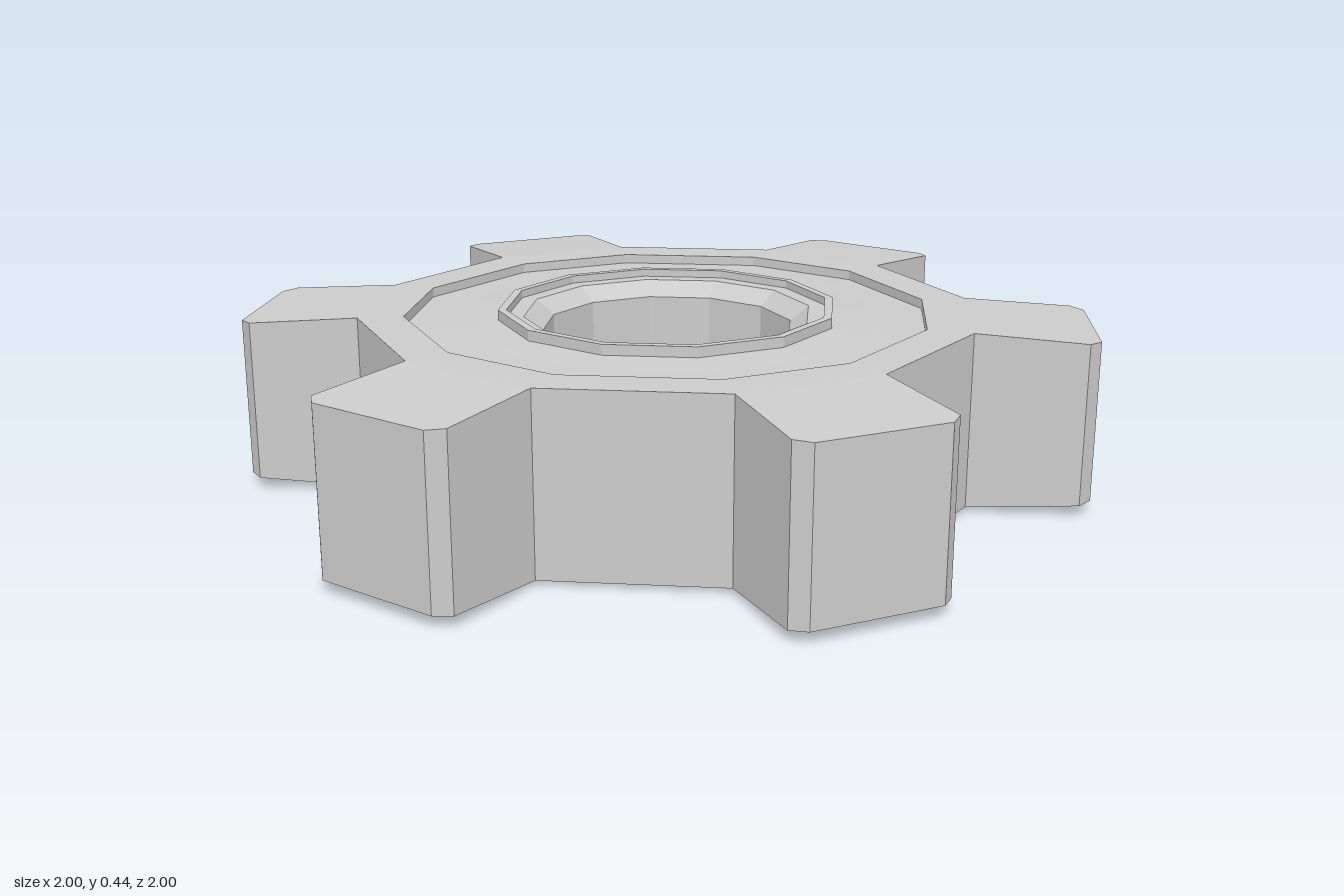
import * as THREE from 'three';

const HALF = 0.2185; // half of the overall height
const material = new THREE.MeshStandardMaterial({ color: 0xcccccc, flatShading: true });

// Skins a row of equal-length closed cross-sections with flat quads.
function loft(sections, skip = () => false) {
  const pos = [];
  for (let j = 0; j + 1 < sections.length; j++) {
    const s = sections[j], t = sections[j + 1], n = s.length;
    for (let i = 0; i < n; i++) {
      if (skip(j, i)) continue;
      const k = (i + 1) % n;
      for (const p of [s[i], t[i], t[k], s[i], t[k], s[k]]) pos.push(...p);
    }
  }
  const geo = new THREE.BufferGeometry();
  geo.setAttribute('position', new THREE.Float32BufferAttribute(pos, 3));
  geo.computeVertexNormals();
  return geo;
}

// Twelve-sided hub: rim, sunken face, raised lip and chamfered bore.
function hubGeometry() {
  const upper = [
    [0.732, 0.208], [0.625, 0.208],                 // rim
    [0.625, 0.185], [0.515, 0.188], [0.405, 0.194], // sunken face
    [0.405, HALF], [0.385, HALF],                   // lip
    [0.385, 0.2], [0.345, 0.2], [0.3, 0.165],       // bore chamfer
  ];
  const lower = upper.map(([r, y]) => [r, -y]).reverse();
  const profile = [...upper, ...lower];
  const sections = [];
  for (let j = 0; j <= 12; j++) {
    const side = j % 2 ? 1 : -1;
    const mid = 15 + 60 * Math.floor(j / 2);
    sections.push(profile.map(([r, y]) => {
      // outer corners line up with the tooth roots, inner ones are regular
      const a = THREE.MathUtils.degToRad(mid + side * (r > 0.6 ? 13.75 : 15));
      return [r * Math.cos(a), y, -r * Math.sin(a)];
    }));
  }
  // leave the outer wall open where a tooth joins it
  return loft(sections, (j, i) => j % 2 === 0 && i === profile.length - 1);
}

// One tooth along +x: flared sides, tapered height, bevelled tip.
function toothGeometry() {
  const steps = [
    [0.711, 0.174, 0.208], [0.968, 0.185, 0.192],
    [0.997, 0.152, 0.19], [0.997, 0, 0.19],
  ];
  return loft(steps.map(([x, w, h]) => [[x, h, w], [x, h, -w], [x, -h, -w], [x, -h, w]]));
}

export function createModel() {
  const gear = new THREE.Group();
  gear.name = 'gear';

  const hub = new THREE.Mesh(hubGeometry(), material);
  hub.name = 'hub';
  gear.add(hub);

  const geo = toothGeometry();
  for (let k = 0; k < 6; k++) {
    const tooth = new THREE.Mesh(geo, material);
    tooth.name = `tooth${k + 1}`;
    tooth.rotation.y = THREE.MathUtils.degToRad(15 + 60 * k);
    gear.add(tooth);
  }

  gear.position.y = HALF;
  const model = new THREE.Group();
  model.add(gear);
  return model;
}
